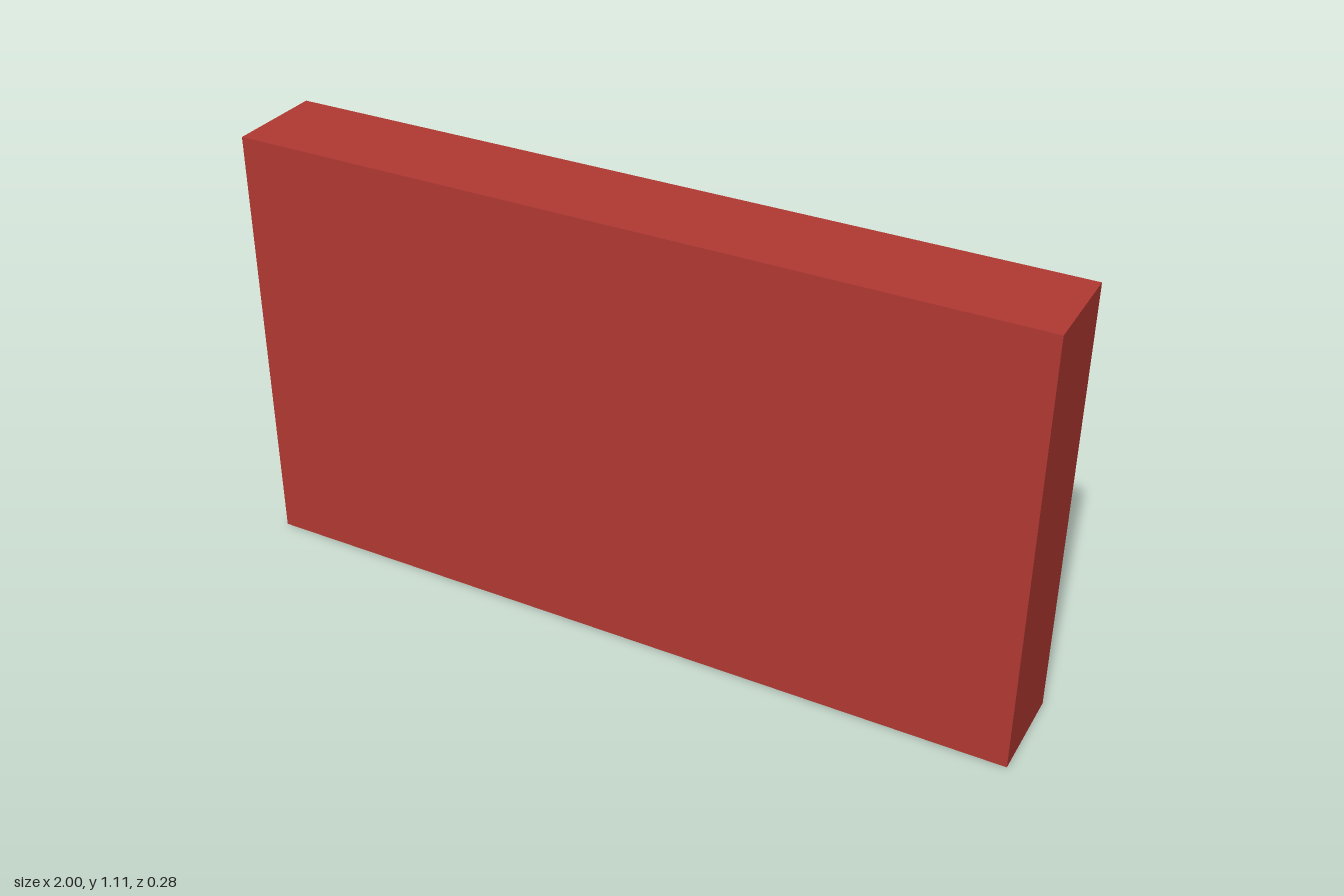
import * as THREE from 'three';

const material = (color) => new THREE.MeshStandardMaterial({ color });

function box(name, size, position, mat) {
  const mesh = new THREE.Mesh(new THREE.BoxGeometry(...size), mat);
  mesh.name = name;
  mesh.position.set(...position);
  return mesh;
}

export function createModel() {
  const model = new THREE.Group();
  model.name = 'tiledPanel';

  // Thick red slab
  model.add(box('panel', [2, 1.111, 0.25], [0, 0.5555, 0.014], material(0xb03832)));

  // Three rows of five raised tiles on the back, colours cycling diagonally
  const tiles = new THREE.Group();
  tiles.name = 'tiles';
  const colors = [0x2a2a2d, 0xaaafb3, 0x4a4a50, 0xbdb6a6].map(material);
  for (let row = 0; row < 3; row++) {
    for (let col = 0; col < 5; col++) {
      const x = (col - 2) * 0.389;
      const y = 0.919 - row * 0.3335;
      tiles.add(box(`tile${row + 1}_${col + 1}`, [0.222, 0.144, 0.028], [x, y, -0.125], colors[(row + col) % 4]));
    }
  }
  model.add(tiles);
  return model;
}
